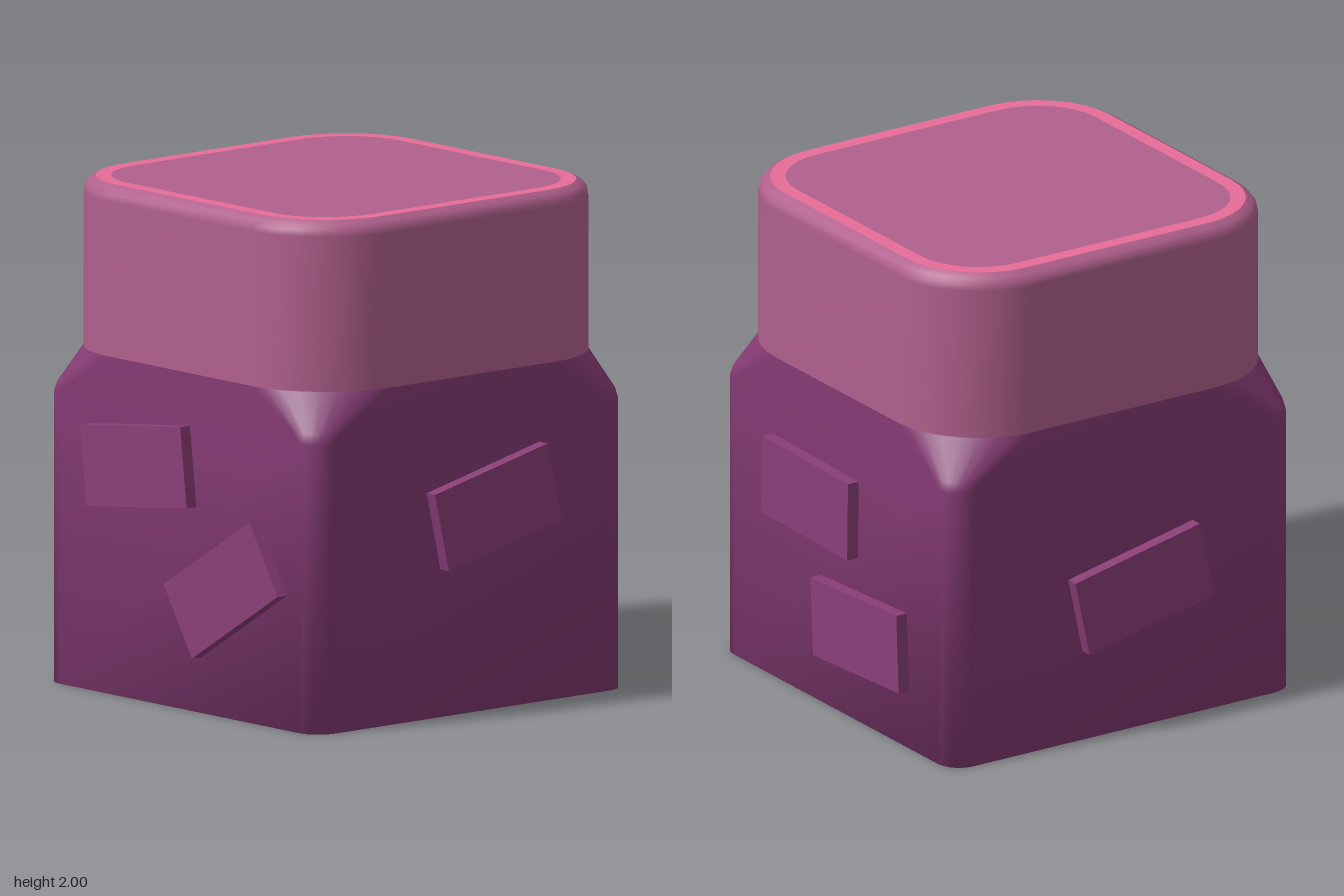
import * as THREE from 'three';

const CORNER_STEPS = 8;
const SIDE = 0.805; // half width of the block

// Rounded square outline at height y
function outline(half, radius, y) {
  const points = [];
  const c = half - radius;
  const signs = [[1, 1], [-1, 1], [-1, -1], [1, -1]];
  signs.forEach(([sx, sz], corner) => {
    for (let i = 0; i <= CORNER_STEPS; i++) {
      const a = (corner + i / CORNER_STEPS) * Math.PI / 2;
      points.push(sx * c + radius * Math.cos(a), y, sz * c + radius * Math.sin(a));
    }
  });
  return points;
}

// Smooth skin through a stack of [half, radius, y] outlines
function loft(name, color, levels) {
  const n = 4 * (CORNER_STEPS + 1);
  const index = [];
  for (let k = 0; k < levels.length - 1; k++) {
    for (let i = 0; i < n; i++) {
      const a = k * n + i, b = k * n + (i + 1) % n;
      index.push(a, a + n, b, b, a + n, b + n);
    }
  }
  const geometry = new THREE.BufferGeometry();
  const positions = levels.flatMap(level => outline(...level));
  geometry.setAttribute('position', new THREE.Float32BufferAttribute(positions, 3));
  geometry.setIndex(index);
  geometry.computeVertexNormals();
  const mesh = new THREE.Mesh(geometry, new THREE.MeshStandardMaterial({ color }));
  mesh.name = name;
  return mesh;
}

export function createModel() {
  const model = new THREE.Group();
  model.name = 'block';

  // Lower body: tight corners that blend into the rounder cap at the top
  model.add(loft('body', 0x853b74, [
    [0, 0, 0], [SIDE, 0.1, 0], [SIDE, 0.1, 1.14], [SIDE, 0.13, 1.18], [SIDE, 0.38, 1.33],
  ]));

  // Cap wall with a softly rounded upper edge
  model.add(loft('cap', 0xb0608c, [
    [SIDE, 0.38, 1.33], [SIDE, 0.38, 1.94], [0.8, 0.375, 1.965],
    [0.785, 0.36, 1.985], [0.757, 0.33, 2],
  ]));

  // Bright rim and the flat top inside it
  model.add(loft('rim', 0xe86c98, [[0.757, 0.33, 2], [0.697, 0.27, 2]]));
  model.add(loft('top', 0xb0608c, [[0.697, 0.27, 2], [0, 0, 2]]));

  // Tilted raised patches: side turn, offset along the side, height, tilt in degrees
  const patchGeometry = new THREE.BoxGeometry(0.595, 0.318, 0.1);
  const patchMaterial = new THREE.MeshStandardMaterial({ color: 0x8a3e78 });
  const patches = [
    ['frontPatch', 0, -0.215, 0.93, 6.8],
    ['frontPatch', 0, 0.3, 0.512, 31.7],
    ['leftPatch', 90, 0.09, 0.803, 13],
    ['backPatch', 180, -0.143, 0.843, -1],
    ['backPatch', 180, 0.203, 0.383, 3],
    ['rightPatch', -90, 0.0625, 0.585, 12],
  ];
  for (const [name, turn, offset, height, tilt] of patches) {
    const side = new THREE.Group();
    side.name = name;
    side.rotation.y = THREE.MathUtils.degToRad(turn);
    const patch = new THREE.Mesh(patchGeometry, patchMaterial);
    patch.name = name;
    patch.position.set(offset, height, SIDE);
    patch.rotation.z = THREE.MathUtils.degToRad(tilt);
    side.add(patch);
    model.add(side);
  }
  return model;
}
